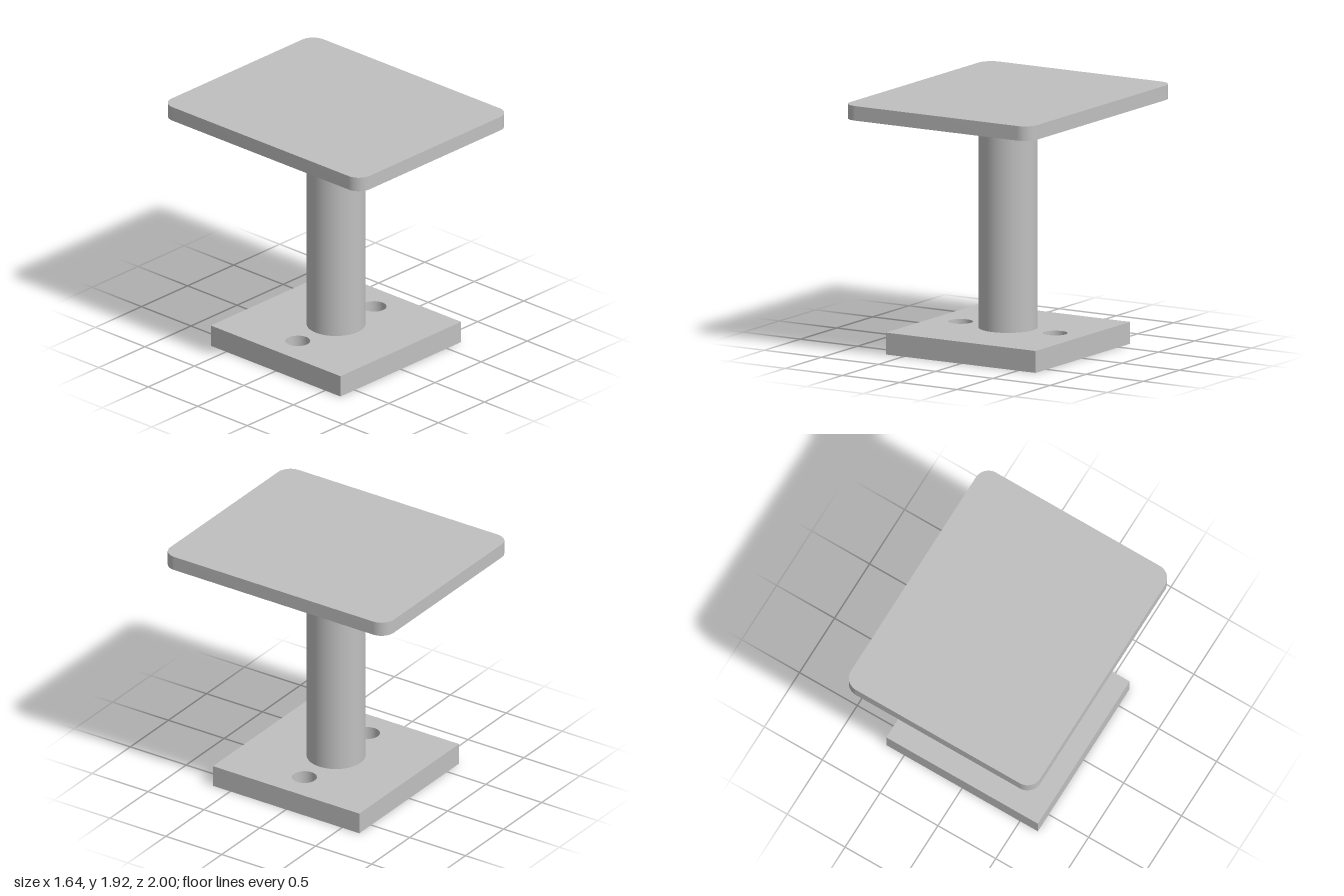
import * as THREE from 'three';
import { toCreasedNormals } from 'three/addons/utils/BufferGeometryUtils.js';

const steel = new THREE.MeshStandardMaterial({ color: 0xc0c0c0 });
steel.name = 'steelGrey';

// Rectangle centred on the origin, with optional corner radius
function rectangle(w, d, r = 0) {
  const x = w / 2, y = d / 2;
  const s = new THREE.Shape();
  if (r === 0) {
    s.moveTo(-x, -y).lineTo(x, -y).lineTo(x, y).lineTo(-x, y).closePath();
    return s;
  }
  s.absarc(x - r, y - r, r, 0, Math.PI / 2);
  s.absarc(-x + r, y - r, r, Math.PI / 2, Math.PI);
  s.absarc(-x + r, -y + r, r, Math.PI, Math.PI * 1.5);
  s.absarc(x - r, -y + r, r, Math.PI * 1.5, Math.PI * 2);
  s.closePath();
  return s;
}

// Horizontal plate raised from a floor outline
function plate(name, shape, bottom, top) {
  const geo = new THREE.ExtrudeGeometry(shape, {
    depth: top - bottom, bevelEnabled: false, curveSegments: 20,
  });
  geo.rotateX(-Math.PI / 2);
  geo.translate(0, bottom, 0);
  const mesh = new THREE.Mesh(toCreasedNormals(geo, Math.PI / 6), steel);
  mesh.name = name;
  return mesh;
}

export function createModel() {
  const model = new THREE.Group();
  model.name = 'pedestal';
  const baseTop = 0.165, topBottom = 1.815, topTop = 1.925;

  // Square base with two through holes for bolts
  const baseShape = rectangle(1.31, 1.31);
  for (const side of [-1, 1]) {
    const hole = new THREE.Path();
    hole.absarc(side * 0.414, 0, 0.092, 0, Math.PI * 2, true);
    baseShape.holes.push(hole);
  }
  model.add(plate('basePlate', baseShape, 0, baseTop));

  // Round column
  const column = new THREE.Mesh(
    new THREE.CylinderGeometry(0.218, 0.218, topBottom - baseTop, 64, 1, true), steel);
  column.position.y = (baseTop + topBottom) / 2;
  column.name = 'column';
  model.add(column);

  // Top plate with rounded corners
  model.add(plate('topPlate', rectangle(1.636, 2, 0.11), topBottom, topTop));

  return model;
}
